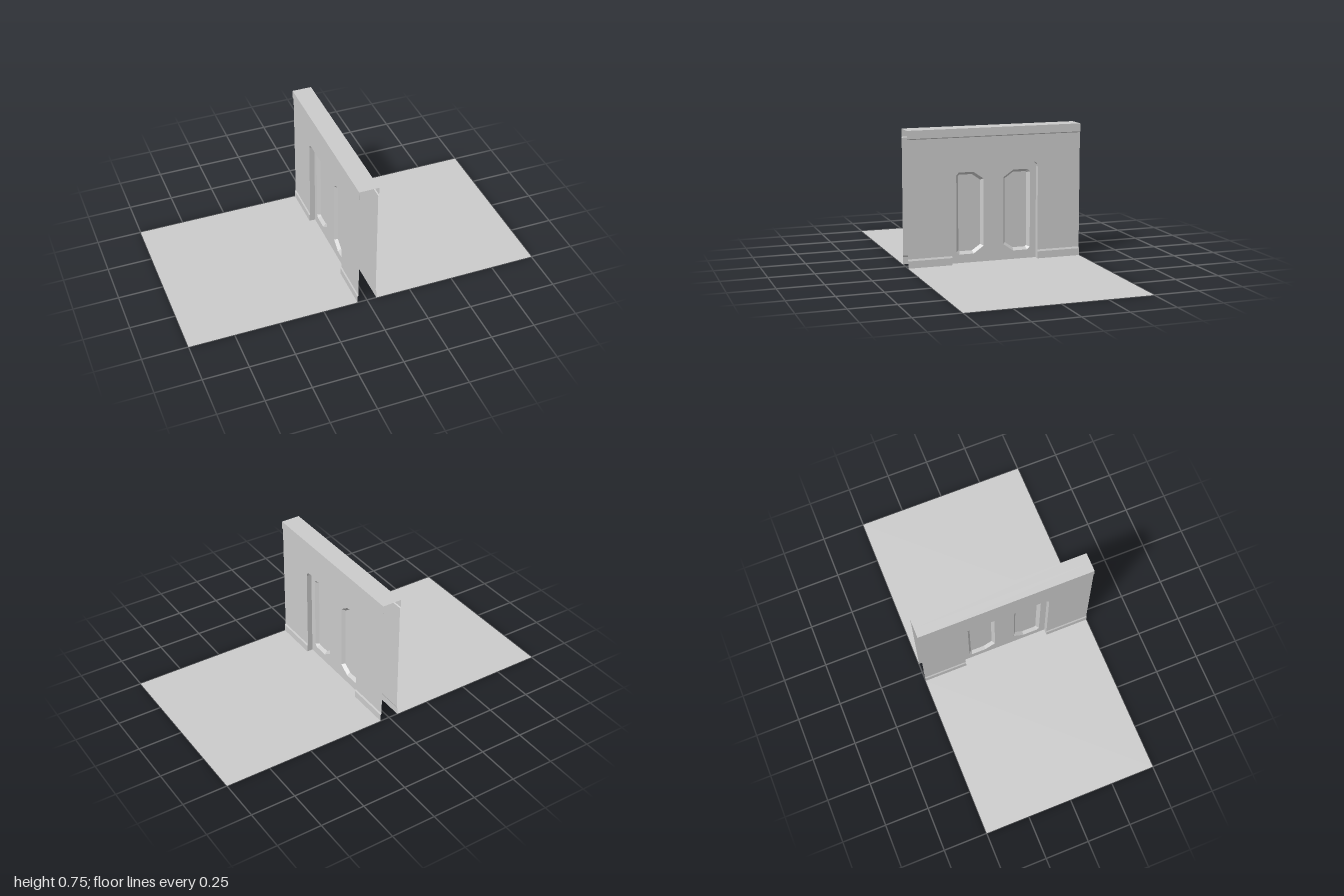
import * as THREE from 'three';

const material = new THREE.MeshStandardMaterial({ color: 0xcccccc, side: THREE.DoubleSide, flatShading: true });
const HALF = 0.5, DOOR = 0.25, WALL_X = 0.05, TRIM_X = 0.055, DOOR_X = 0.02, PANEL_X = 0.002;

function addMesh(group, name, geometry) {
  const mesh = new THREE.Mesh(geometry, material);
  mesh.name = name;
  group.add(mesh);
}

// Quads between two matching rows of points
function loft(rowA, rowB, closed = false) {
  const pos = [];
  const n = rowA.length;
  for (let i = 0; i < (closed ? n : n - 1); i++) {
    const j = (i + 1) % n;
    for (const p of [rowA[i], rowA[j], rowB[j], rowA[i], rowB[j], rowB[i]]) pos.push(...p);
  }
  const g = new THREE.BufferGeometry();
  g.setAttribute('position', new THREE.Float32BufferAttribute(pos, 3));
  g.computeVertexNormals();
  return g;
}

// An (x, y) profile swept from z0 to z1
const sweep = (profile, z0, z1) =>
  loft(profile.map(([x, y]) => [x, y, z0]), profile.map(([x, y]) => [x, y, z1]));

const toVectors = (points) => points.map(([u, v]) => new THREE.Vector2(u, v));

// A flat face in the z-y plane at x, facing +x
function upright(points, x, holes = []) {
  const shape = new THREE.Shape(toVectors(points));
  holes.forEach((h) => shape.holes.push(new THREE.Path(toVectors(h))));
  return new THREE.ShapeGeometry(shape).rotateY(Math.PI / 2).translate(x, 0, 0);
}

// A horizontal floor rectangle at y = 0
const floorPlane = (x0, x1, halfDepth) =>
  new THREE.PlaneGeometry(x1 - x0, halfDepth * 2).rotateX(-Math.PI / 2).translate((x0 + x1) / 2, 0, 0);

// Doorway outline with rounded upper corners, from one foot to the other
function doorway(bottom) {
  const r = 0.03, top = 0.55, points = [[-DOOR, bottom]];
  for (const side of [-1, 1]) {
    for (let i = 0; i <= 4; i++) {
      const a = ((side < 0 ? i : 4 - i) / 4) * Math.PI / 2;
      points.push([side * (DOOR - r + r * Math.cos(a)), top - r + r * Math.sin(a)]);
    }
  }
  points.push([DOOR, bottom]);
  return points;
}

// Outer rim and recessed inner outline of a door panel
const RIM = [[0.116, 0.505], [0.2, 0.505], [0.215, 0.49], [0.215, 0.063],
  [0.2, 0.048], [0.116, 0.048], [0.058, 0.088], [0.058, 0.465]];
const INSET = [[0.12, 0.49], [0.193, 0.49], [0.199, 0.484], [0.199, 0.069],
  [0.193, 0.063], [0.12, 0.063], [0.072, 0.096], [0.072, 0.457]];
const flip = (points, s) => points.map(([u, v]) => [u * s, v]);

function createSide() {
  const side = new THREE.Group();

  // Floor with the threshold running under the door
  addMesh(side, 'floor', floorPlane(TRIM_X, 1, HALF));
  addMesh(side, 'threshold', floorPlane(0, TRIM_X, DOOR));

  // Wall face around the doorway
  addMesh(side, 'wall', upright(
    [[-HALF, 0.05], ...doorway(0.05), [HALF, 0.05], [HALF, 0.7], [-HALF, 0.7]], WALL_X));

  // Top trim, half of the cap
  addMesh(side, 'topTrim', sweep(
    [[WALL_X, 0.7], [TRIM_X, 0.705], [TRIM_X, 0.75], [0, 0.75]], HALF, -HALF));

  // Skirting on both sides of the doorway, closed at the door end
  const skirting = [[TRIM_X, 0], [TRIM_X, 0.04], [WALL_X, 0.05]];
  for (const s of [-1, 1]) {
    addMesh(side, 'skirting', s > 0 ? sweep(skirting, HALF, DOOR) : sweep(skirting, -DOOR, -HALF));
    const end = new THREE.ShapeGeometry(new THREE.Shape(toVectors([...skirting, [WALL_X, 0]])));
    addMesh(side, 'skirtingEnd', end.translate(0, 0, s * DOOR));
  }

  // Door frame lining
  const frame = doorway(0);
  addMesh(side, 'doorFrame', loft(
    frame.map(([z, y]) => [0, y, z]), frame.map(([z, y]) => [WALL_X, y, z])));

  // Door leaf with two recessed panels
  addMesh(side, 'door', upright(frame, DOOR_X, [flip(RIM, 1), flip(RIM, -1)]));
  for (const s of [-1, 1]) {
    const rim = flip(RIM, s).map(([z, y]) => [DOOR_X, y, z]);
    const inset = flip(INSET, s).map(([z, y]) => [PANEL_X, y, z]);
    addMesh(side, 'panelBevel', s > 0 ? loft(rim, inset, true) : loft(inset, rim, true));
    addMesh(side, 'doorPanel', upright(flip(INSET, s), PANEL_X));
  }
  return side;
}

export function createModel() {
  const model = new THREE.Group();
  model.name = 'wallWithDoor';
  for (const [name, angle] of [['leftSide', 0], ['rightSide', Math.PI]]) {
    const side = createSide();
    side.name = name;
    side.rotation.y = angle;
    model.add(side);
  }
  return model;
}
